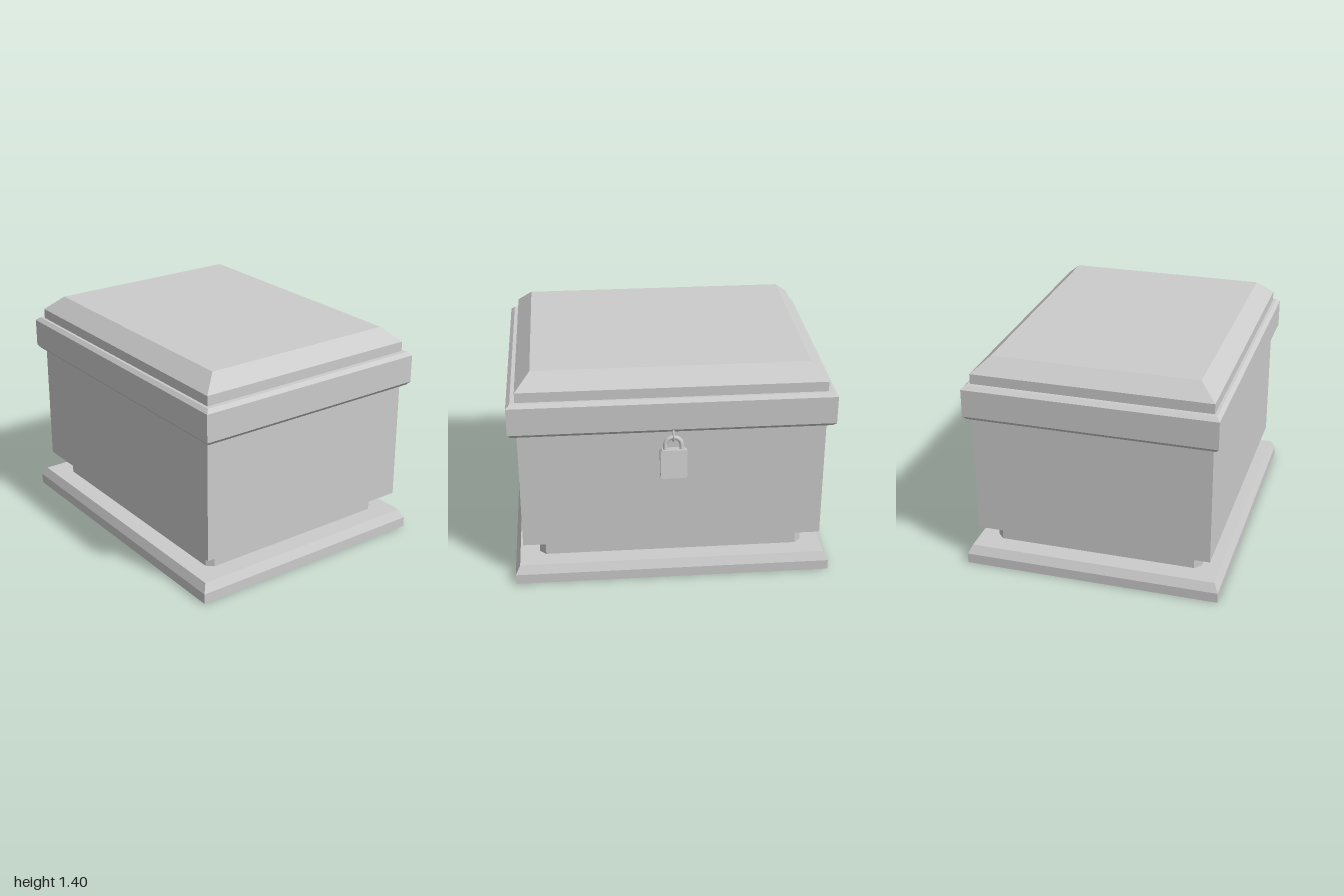
import * as THREE from 'three';

const Z0 = 0.0175; // the box sits slightly forward of the padlock
const material = () => new THREE.MeshStandardMaterial({ color: 0xcccccc, side: THREE.DoubleSide });

// Corners of a rectangle, optionally with cut corners, counter-clockwise from above
function outline([y, hx, hz], cut) {
  const pts = [];
  for (const [sx, sz] of [[1, 1], [1, -1], [-1, -1], [-1, 1]]) {
    if (!cut) { pts.push([sx * hx, y, sz * hz]); continue; }
    const pair = [[sx * (hx - cut), y, sz * hz], [sx * hx, y, sz * (hz - cut)]];
    if (sx !== sz) pair.reverse();
    pts.push(...pair);
  }
  return pts;
}

// Faceted shell joining rectangles [y, halfWidth, halfDepth] from bottom to top
function shell(name, levels, cut = 0, cap = false) {
  const rings = levels.map(l => outline(l, cut));
  const pos = [];
  for (let k = 0; k < rings.length - 1; k++) {
    const lo = rings[k], hi = rings[k + 1], n = lo.length;
    for (let i = 0; i < n; i++) {
      const j = (i + 1) % n;
      pos.push(...lo[i], ...lo[j], ...hi[j], ...lo[i], ...hi[j], ...hi[i]);
    }
  }
  if (cap) {
    const t = rings[rings.length - 1];
    for (let i = 1; i < t.length - 1; i++) pos.push(...t[0], ...t[i], ...t[i + 1]);
  }
  const geo = new THREE.BufferGeometry();
  geo.setAttribute('position', new THREE.Float32BufferAttribute(pos, 3));
  geo.computeVertexNormals();
  const mesh = new THREE.Mesh(geo, material());
  mesh.name = name;
  mesh.position.z = Z0;
  return mesh;
}

function part(name, geo, parent) {
  const mesh = new THREE.Mesh(geo, material());
  mesh.name = name;
  parent.add(mesh);
  return mesh;
}

export function createModel() {
  const model = new THREE.Group();
  model.name = 'lockedBox';

  // Hollow plinth, neck with cut corners, and the main walls
  model.add(shell('base', [
    [0, 1, 0.8175], [0.065, 1, 0.8175], [0.12, 0.97, 0.79], [0.12, 0.82, 0.65],
  ]));
  model.add(shell('neck', [[0.12, 0.845, 0.6725], [0.25, 0.845, 0.6725]], 0.04));
  model.add(shell('body', [
    [0.245, 0.82, 0.65], [0.245, 0.945, 0.7525], [1.04, 0.945, 0.7525],
  ]));

  // Stepped lid with a sloping top
  model.add(shell('lid', [
    [1.025, 0.94, 0.75], [1.025, 0.98, 0.773], [1.048, 1, 0.793], [1.225, 1, 0.793],
    [1.247, 0.975, 0.77], [1.247, 0.945, 0.7525], [1.31, 0.945, 0.7525], [1.403, 0.85, 0.648],
  ], 0, true));

  // Uneven filling inside the box
  const fill = new THREE.PlaneGeometry(1.88, 1.5, 24, 20).rotateX(-Math.PI / 2);
  const p = fill.attributes.position;
  for (let i = 0; i < p.count; i++) {
    const x = p.getX(i), z = p.getZ(i);
    p.setY(i, 0.86 + 0.035 * Math.sin(6 * x + 2 * z) + 0.03 * Math.cos(7 * z - 3 * x));
  }
  fill.computeVertexNormals();
  part('filling', fill, model).position.z = Z0;

  // Ring fixed under the back edge of the lid
  const ring = part('lockRing', new THREE.TorusGeometry(0.04, 0.006, 8, 24), model);
  ring.rotation.y = Math.PI / 2;
  ring.position.set(0, 1.003, -0.746);

  // Padlock hanging at a tilt
  const lock = new THREE.Group();
  lock.name = 'padlock';
  lock.position.set(0, 0.826, -0.788);
  lock.rotation.x = 0.165;
  model.add(lock);

  const w = 0.0825, h = 0.09, c = 0.012;
  const face = new THREE.Shape([
    [-w + c, -h], [w - c, -h], [w, -h + c], [w, h - c],
    [w - c, h], [-w + c, h], [-w, h - c], [-w, -h + c],
  ].map(([x, y]) => new THREE.Vector2(x, y)));
  const block = new THREE.ExtrudeGeometry(face, { depth: 0.064, bevelEnabled: false });
  part('padlockBody', block.translate(0, 0, -0.032), lock);

  const arch = new THREE.CurvePath();
  const v = (x, y) => new THREE.Vector3(x, y, 0);
  arch.add(new THREE.LineCurve3(v(-0.05, 0.08), v(-0.05, 0.115)));
  arch.add(new THREE.CubicBezierCurve3(v(-0.05, 0.115), v(-0.05, 0.18), v(0.05, 0.18), v(0.05, 0.115)));
  arch.add(new THREE.LineCurve3(v(0.05, 0.115), v(0.05, 0.08)));
  part('shackle', new THREE.TubeGeometry(arch, 28, 0.014, 8), lock);

  return model;
}
